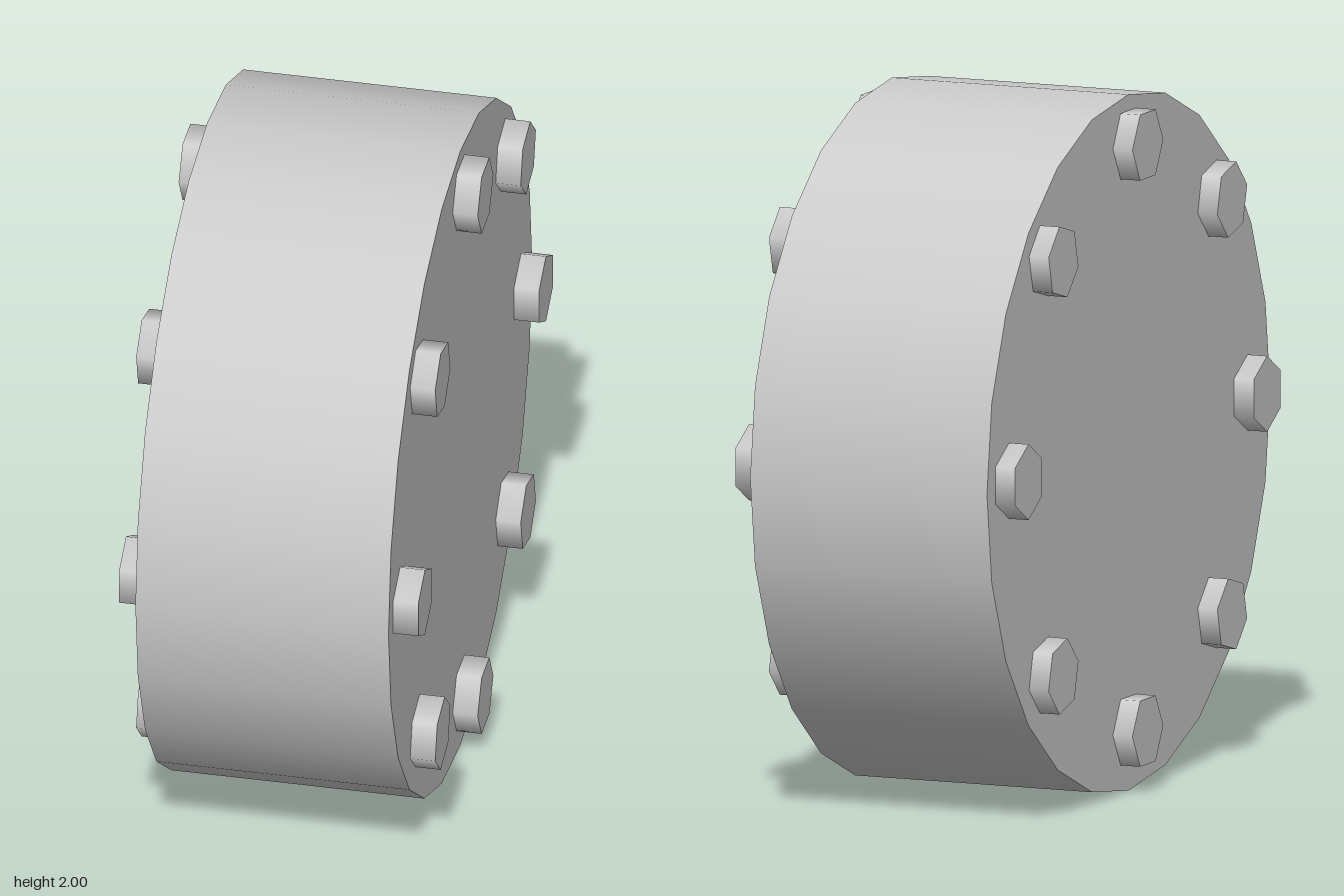
import * as THREE from 'three';

export function createModel() {
  const model = new THREE.Group();
  const material = new THREE.MeshStandardMaterial({ color: 0xcccccc });

  // Cylinder lying along the x axis, smooth-shaded around its side
  const xCylinder = (radius, length, sides) =>
    new THREE.CylinderGeometry(radius, radius, length, sides).rotateZ(Math.PI / 2);

  // Wheel drum
  const drum = new THREE.Mesh(xCylinder(1, 0.733, 24), material);
  drum.name = 'drum';
  drum.position.set(-0.006, 1, 0);
  model.add(drum);

  // Ring of hexagonal bolts passing through the drum, heads showing on both faces
  const bolts = new THREE.Group();
  bolts.name = 'boltRing';
  bolts.position.set(0, 1.017, -0.002);
  const boltGeometry = xCylinder(0.109, 0.866, 6);
  const ringRadius = 0.842;
  for (let i = 0; i < 8; i++) {
    const angle = (i * Math.PI) / 4;
    const bolt = new THREE.Mesh(boltGeometry, material);
    bolt.name = 'bolt';
    bolt.position.set(0, ringRadius * Math.cos(angle), ringRadius * Math.sin(angle));
    bolt.rotation.x = angle; // one flat always faces outward
    bolts.add(bolt);
  }
  model.add(bolts);

  return model;
}
